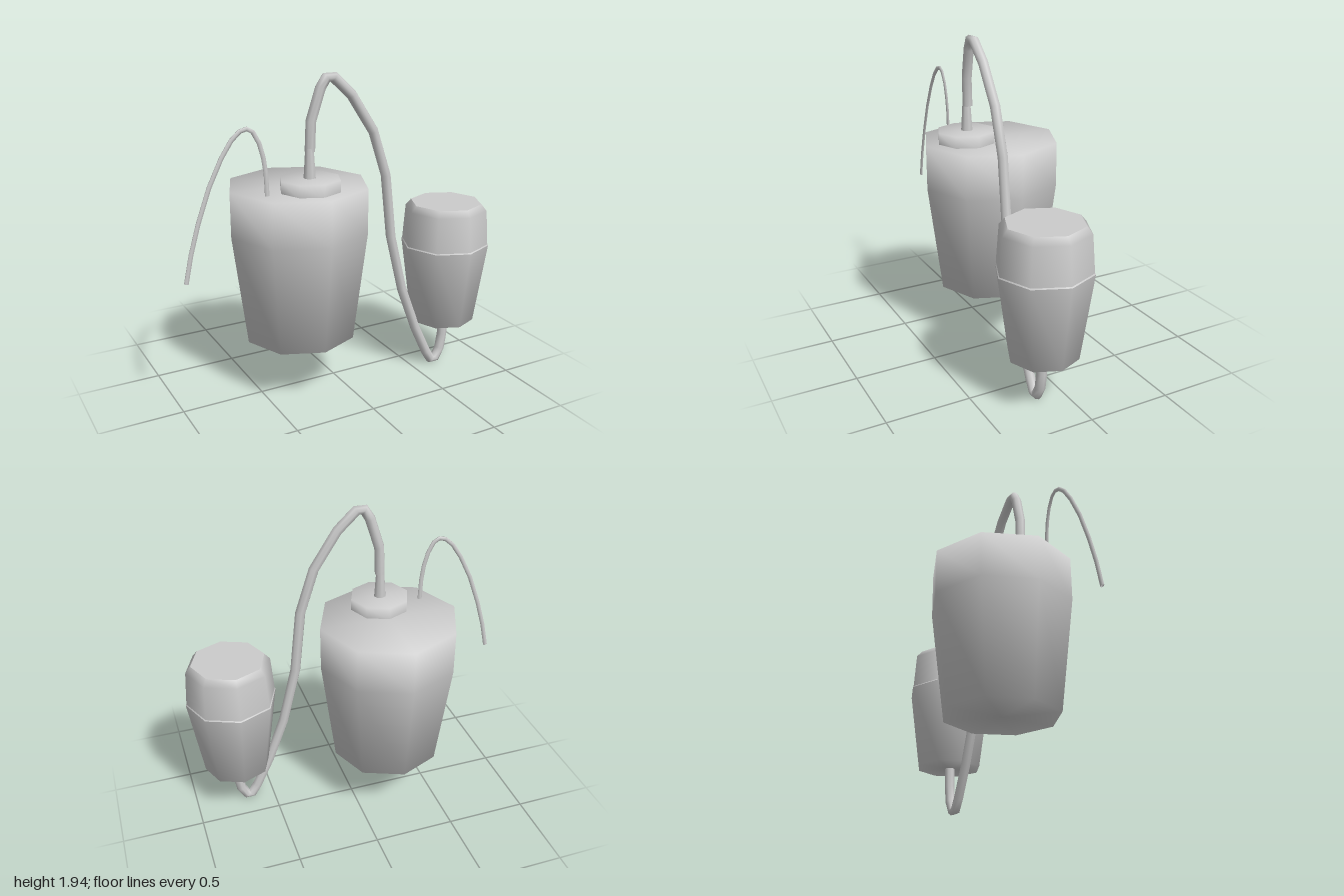
import * as THREE from 'three';

const material = new THREE.MeshStandardMaterial({ color: 0xcccccc, side: THREE.DoubleSide });

// A path through points with straight runs, one tube segment per run
class Polyline extends THREE.Curve {
  constructor(points) {
    super();
    this.points = points.map(p => new THREE.Vector3(...p));
  }
  getPoint(t, target = new THREE.Vector3()) {
    const n = this.points.length - 1;
    const s = THREE.MathUtils.clamp(t, 0, 1) * n;
    const i = Math.min(Math.floor(s), n - 1);
    return target.lerpVectors(this.points[i], this.points[i + 1], s - i);
  }
  getPointAt(u, target) { return this.getPoint(u, target); }
  getTangentAt(u, target = new THREE.Vector3()) {
    const d = 0.5 / (this.points.length - 1);
    return target.copy(this.getPoint(u + d)).sub(this.getPoint(u - d)).normalize();
  }
}

export function createModel() {
  const model = new THREE.Group();

  const add = (name, geometry, x = 0, y = 0, z = 0) => {
    const mesh = new THREE.Mesh(geometry, material);
    mesh.name = name;
    mesh.position.set(x, y, z);
    model.add(mesh);
    return mesh;
  };
  // Eight-sided turned shape; profile runs from bottom to top as [radius, height]
  const turned = (name, profile, x, z, sides = 8) =>
    add(name, new THREE.LatheGeometry(profile.map(p => new THREE.Vector2(...p)), sides), x, 0, z);
  const tube = (name, points, radius, sides) =>
    add(name, new THREE.TubeGeometry(new Polyline(points), points.length - 1, radius, sides), 0, 0, 0);

  // Large tapered tank, rounded over by smooth shading
  turned('tank', [[0, 0.36], [0.34, 0.36], [0.425, 1.03], [0.425, 1.3], [0, 1.3]], -0.23, -0.01);

  // Cap and spout on top of the tank
  turned('tankCap', [[0.18, 1.29], [0.18, 1.37], [0, 1.37]], -0.23, 0.15);
  turned('spout', [[0.037, 1.36], [0.025, 1.54]], -0.23, 0.145);

  // Main hose: up from the spout, over, down and into the underside of the cup
  const z = 0.16;
  tube('hose', [
    [-0.225, 1.52, 0.14], [-0.22, 1.69, 0.145], [-0.165, 1.87, 0.155], [-0.13, 1.927, z],
    [-0.085, 1.927, z], [0.03, 1.82, z], [0.175, 1.6, z], [0.265, 1.33, z], [0.31, 0.94, z],
    [0.4, 0.58, z], [0.51, 0.29, z], [0.6, 0.1, z], [0.64, 0.035, z], [0.675, 0.035, z],
    [0.71, 0.1, z], [0.725, 0.2, z], [0.73, 0.35, z],
  ], 0.031, 8);

  // Thin wire curving away from the tank, slightly flattened
  const wire = tube('wire', [
    [-0.495, 1.29, 0], [-0.5, 1.43, 0], [-0.513, 1.52, 0], [-0.535, 1.6, 0], [-0.57, 1.665, 0],
    [-0.605, 1.685, 0], [-0.645, 1.675, 0], [-0.695, 1.63, 0], [-0.755, 1.54, 0],
    [-0.83, 1.39, 0], [-0.9, 1.2, 0], [-0.95, 1.03, 0], [-0.985, 0.87, 0],
  ], 0.014, 6);
  wire.scale.z = 0.55;
  wire.position.z = 0.15;

  // Cup: tapered lower half, lid half with chamfered rim, flat top
  const cx = 0.72, cz = 0.15;
  turned('cupBase', [[0, 0.32], [0.205, 0.32], [0.277, 0.835]], cx, cz);
  turned('cupSeam', [[0.277, 0.835], [0.272, 0.842]], cx, cz);
  turned('cupLid', [[0.272, 0.842], [0.255, 1.06], [0.222, 1.1]], cx, cz);
  const top = add('cupTop', new THREE.CircleGeometry(0.222, 8), cx, 1.1, cz);
  top.rotation.x = -Math.PI / 2;

  return model;
}
